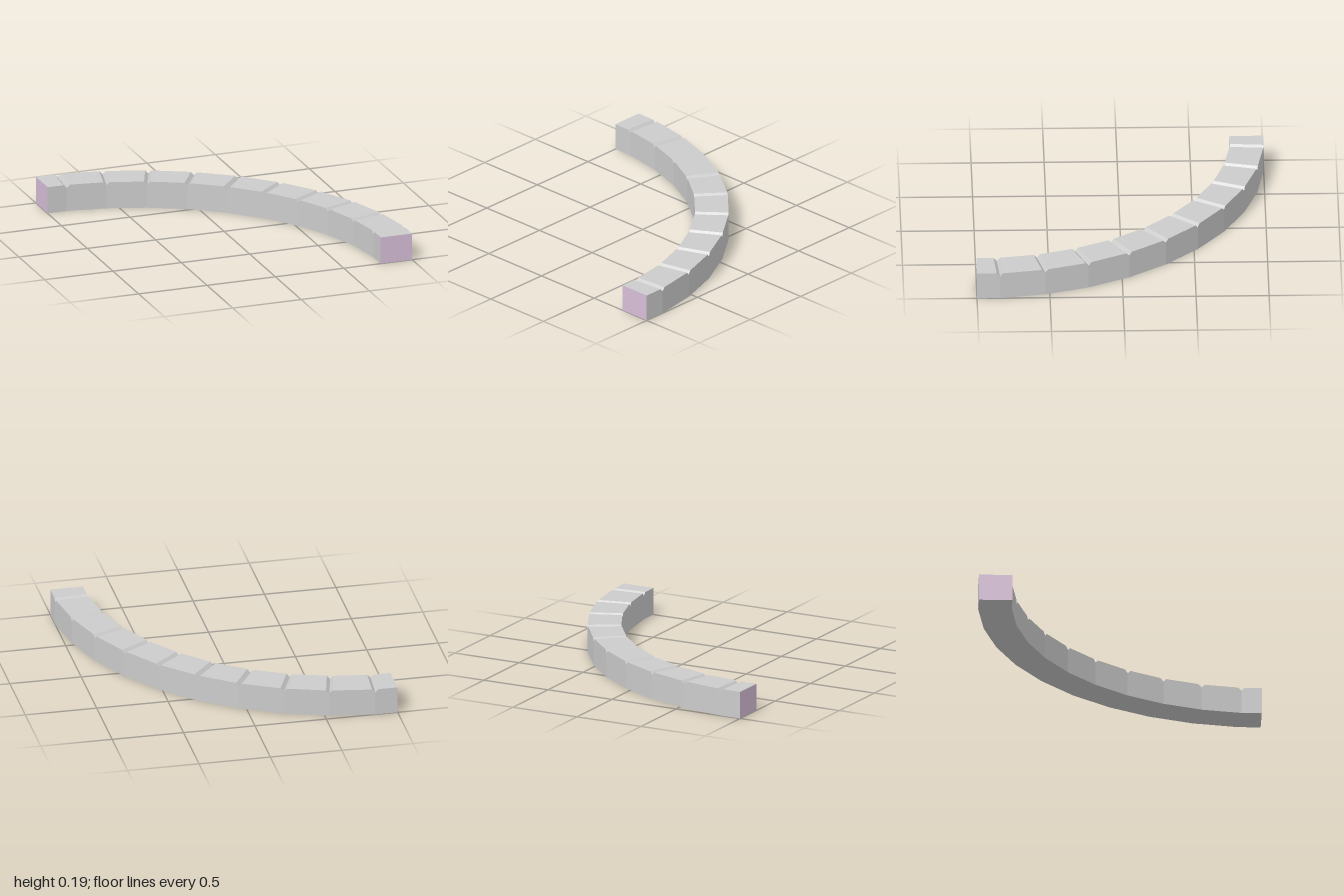
import * as THREE from 'three';

const JOINTS = 10, STEP = Math.PI / 2 / JOINTS; // quarter ring, mitred every 9 degrees
const OUTER = 2, INNER = 1.77, HEIGHT = 0.19, NOTCH = 0.022;

// Cross-section corners: inner bottom, outer bottom, outer top, inner top.
// "shift" slides the section along the straight piece whose heading is "heading".
function section(angle, scale, top, shift = 0, heading = 0) {
  const dx = -Math.sin(heading) * shift, dz = -Math.cos(heading) * shift;
  const at = (r, y) => [
    -1 + r * scale * Math.cos(angle) + dx, y, 1 - r * scale * Math.sin(angle) + dz];
  return [at(INNER, 0), at(OUTER, 0), at(OUTER, top), at(INNER, top)];
}

function quad(out, a, b, c, d) {
  out.push(...a, ...b, ...c, ...a, ...c, ...d);
}

function meshFrom(positions, color, name) {
  const geometry = new THREE.BufferGeometry();
  geometry.setAttribute('position', new THREE.Float32BufferAttribute(positions, 3));
  geometry.computeVertexNormals();
  const mesh = new THREE.Mesh(geometry, new THREE.MeshStandardMaterial({ color, flatShading: true }));
  mesh.name = name;
  return mesh;
}

export function createModel() {
  const group = new THREE.Group();
  group.name = 'curvedKerb';

  // Stations along the arc: both ends, and a V notch of three sections at every joint
  const scale = 1 / Math.cos(STEP / 2);
  const stations = [section(0, 1, HEIGHT)];
  for (let i = 0; i < JOINTS; i++) {
    const angle = (i + 0.5) * STEP;
    stations.push(
      section(angle, scale, HEIGHT, -NOTCH, i * STEP),
      section(angle, scale, HEIGHT - NOTCH),
      section(angle, scale, HEIGHT, NOTCH, (i + 1) * STEP));
  }
  stations.push(section(Math.PI / 2, 1, HEIGHT));

  // Notched body
  const body = [];
  for (let j = 0; j < stations.length - 1; j++) {
    const s = stations[j], t = stations[j + 1];
    for (let k = 0; k < 4; k++) {
      const n = (k + 1) % 4;
      quad(body, s[k], t[k], t[n], s[n]);
    }
  }
  group.add(meshFrom(body, 0xcccccc, 'notchedBody'));

  // Coloured end faces
  const frontEnd = [], backEnd = [];
  quad(frontEnd, ...stations[0]);
  quad(backEnd, ...stations[stations.length - 1].slice().reverse());
  group.add(meshFrom(frontEnd, 0xd8bfd8, 'frontEndFace'));
  group.add(meshFrom(backEnd, 0xd8bfd8, 'backEndFace'));
  return group;
}
